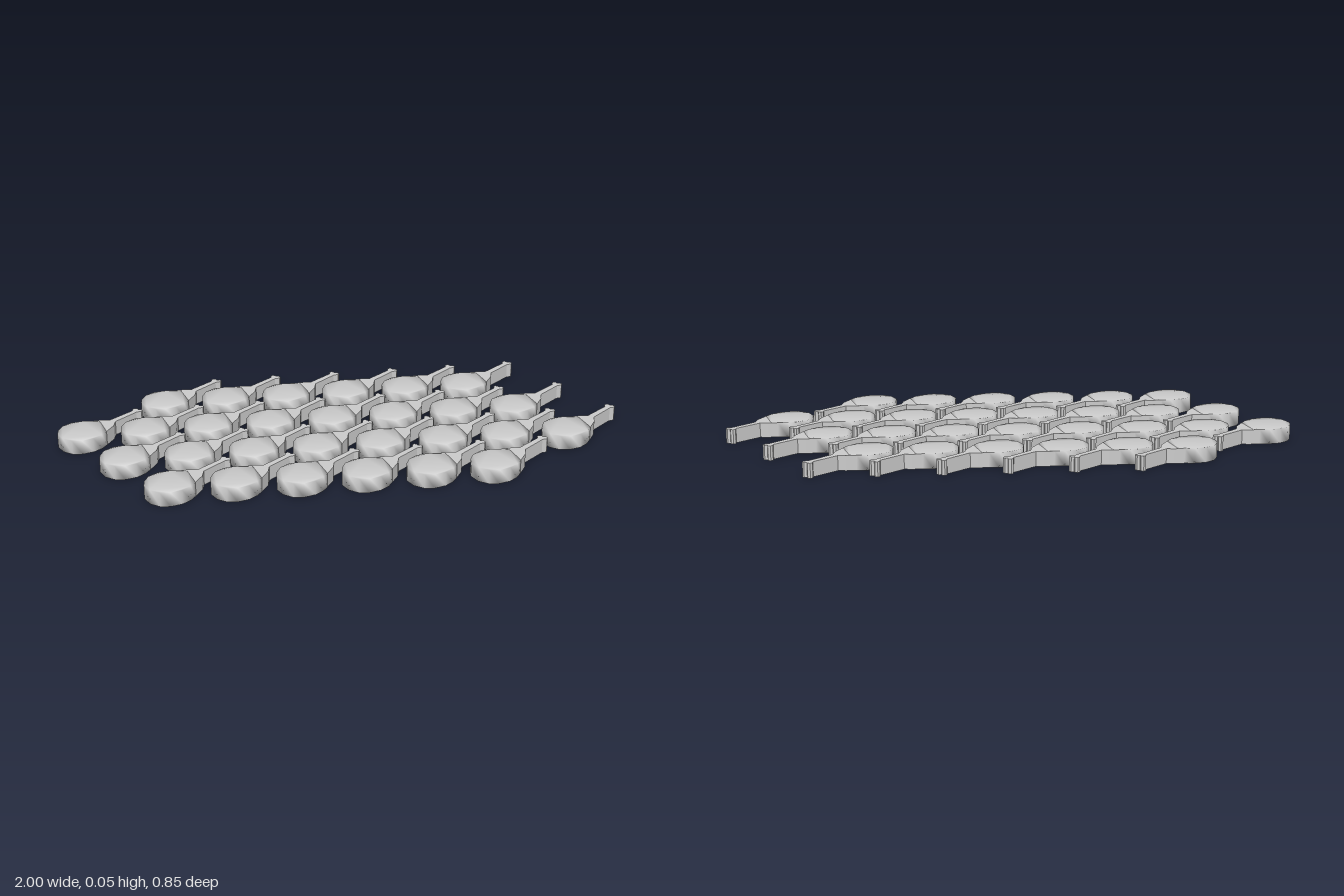
import * as THREE from 'three';
import { mergeVertices } from 'three/addons/utils/BufferGeometryUtils.js';

const HEIGHT = 0.053;
const PITCH_X = 0.2225, ROW_X = 0.143, ROW_Z = 0.2073;

// Upright prism from an outline of [x, z] points
function prism(points) {
  const shape = new THREE.Shape(points.map(([x, z]) => new THREE.Vector2(x, -z)));
  const geo = new THREE.ExtrudeGeometry(shape, { depth: HEIGHT, bevelEnabled: false });
  geo.rotateX(-Math.PI / 2);
  return geo;
}

// Same prism with shared corners, so the shading runs softly over the rim
function softPrism(points) {
  const geo = prism(points);
  geo.deleteAttribute('normal');
  geo.deleteAttribute('uv');
  const merged = mergeVertices(geo, 1e-5);
  merged.computeVertexNormals();
  return merged;
}

// Outlines of one drumstick, measured from its left edge and its bone tip
const MEAT = [
  [0, 0.165], [0.003, 0.138], [0.018, 0.107], [0.05, 0.084], [0.09, 0.077],
  [0.125, 0.08], [0.15, 0.088], [0.172, 0.17], [0.155, 0.195], [0.125, 0.218],
  [0.085, 0.23], [0.05, 0.226], [0.018, 0.203],
];
const NECK = [
  [0.125, 0.08], [0.16, 0.077], [0.19, 0.081], [0.205, 0.096], [0.198, 0.128],
  [0.172, 0.17], [0.15, 0.088],
];
const BONE = [
  [0.188, 0.08], [0.268, 0.018], [0.269, 0.006], [0.277, 0], [0.286, 0.003],
  [0.288, 0.011], [0.298, 0.011], [0.304, 0.019], [0.3, 0.028], [0.282, 0.032],
  [0.204, 0.097],
];

export function createModel() {
  const group = new THREE.Group();
  const material = new THREE.MeshStandardMaterial({ color: 0xcccccc });
  const parts = {
    meat: softPrism(MEAT),
    neck: prism(NECK),
    bone: prism(BONE),
  };

  // Slanted rows of drumsticks: first and last column of each row
  const rows = [[2, 7], [0, 7], [0, 7], [0, 5]];
  rows.forEach(([first, last], r) => {
    for (let k = first; k <= last; k++) {
      const drumstick = new THREE.Group();
      drumstick.name = 'drumstick';
      for (const [name, geo] of Object.entries(parts)) {
        const mesh = new THREE.Mesh(geo, material);
        mesh.name = name;
        drumstick.add(mesh);
      }
      drumstick.position.set(-1 + (r - 1) * ROW_X + k * PITCH_X, 0, -0.426 + r * ROW_Z);
      group.add(drumstick);
    }
  });
  return group;
}
